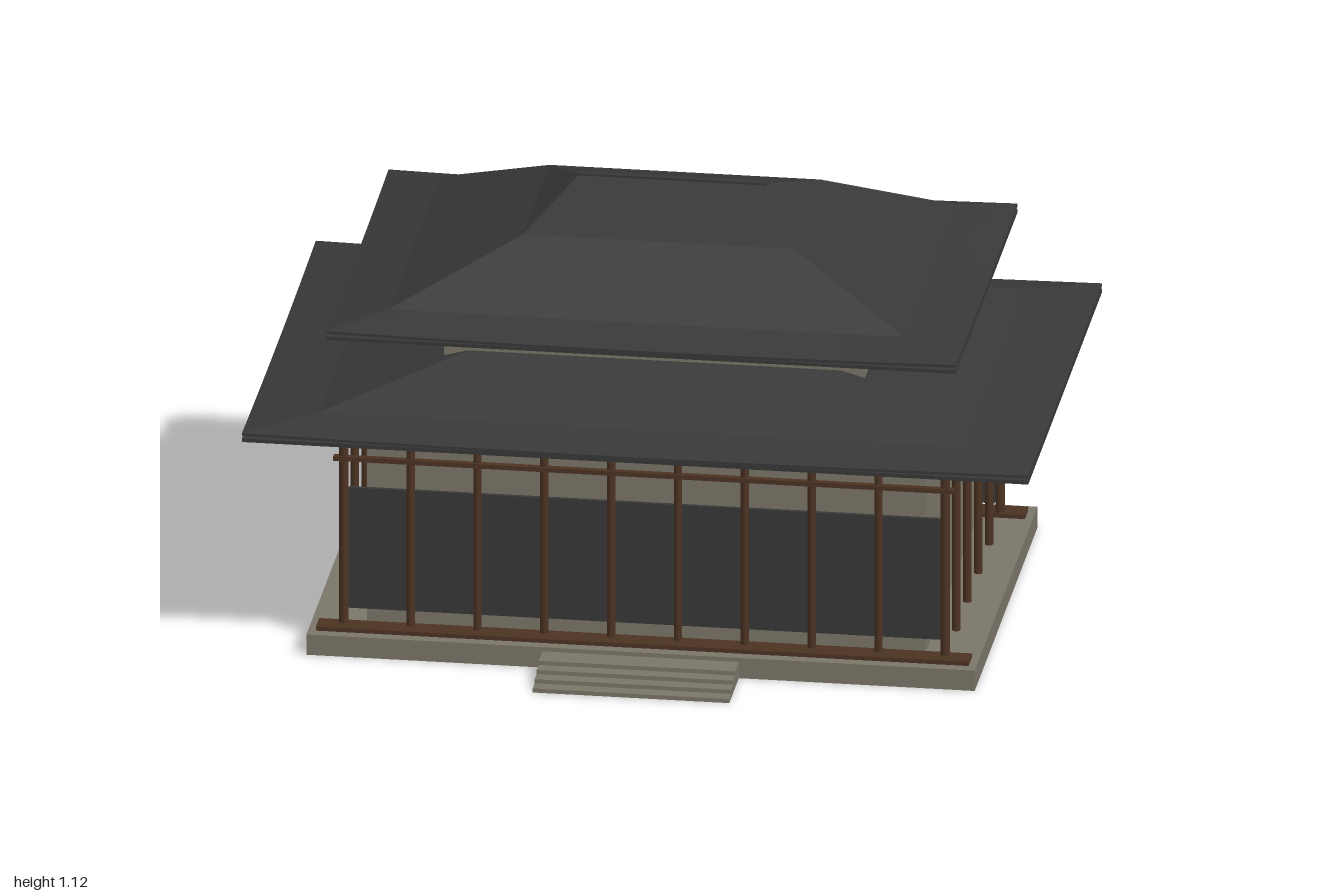
import * as THREE from 'three';

const CZ = -0.034; // centre of the hall along z; the steps take up the rest

export function createModel() {
  const model = new THREE.Group();
  model.name = 'templeHall';
  const mat = (name, color, side = THREE.FrontSide) =>
    new THREE.MeshStandardMaterial({ name, color, side });
  const stone = mat('stone', 0x7b7669);
  const tile = mat('roofTile', 0x383838, THREE.DoubleSide);
  const panel = mat('darkPanel', 0x383839);
  const wood = mat('wood', 0x4d3323);

  const add = (name, geo, material, x, y, z) => {
    const m = new THREE.Mesh(geo, material);
    m.name = name;
    m.position.set(x, y, z);
    model.add(m);
    return m;
  };
  // box given by centre x/z, bottom and top
  const box = (name, material, w, d, y0, y1, x = 0, z = CZ) =>
    add(name, new THREE.BoxGeometry(w, y1 - y0, d), material, x, (y0 + y1) / 2, z);

  // hipped roof from rectangular rings [halfX, halfZ, y, cornerLift], eave first
  const roof = (name, rings) => {
    const N = 16, pos = [];
    const corners = [[-1, 1], [1, 1], [1, -1], [-1, -1]];
    const point = ([hx, hz, y, lift], side, i) => {
      const a = corners[side], b = corners[(side + 1) % 4], t = i / N;
      const e = 2 * t - 1;
      return [hx * (a[0] + (b[0] - a[0]) * t), y + lift * e * e, hz * (a[1] + (b[1] - a[1]) * t)];
    };
    for (let r = 0; r < rings.length - 1; r++)
      for (let s = 0; s < 4; s++)
        for (let i = 0; i < N; i++) {
          const a = point(rings[r], s, i), b = point(rings[r], s, i + 1);
          const c = point(rings[r + 1], s, i + 1), d = point(rings[r + 1], s, i);
          pos.push(...a, ...b, ...c, ...a, ...c, ...d);
        }
    const geo = new THREE.BufferGeometry();
    geo.setAttribute('position', new THREE.Float32BufferAttribute(pos, 3));
    geo.computeVertexNormals();
    add(name, geo, tile, 0, 0, CZ);
  };

  // stone platform and front steps
  box('platform', stone, 1.7, 1.11, 0, 0.055);
  for (let i = 0; i < 4; i++) {
    const front = 0.69 - i * 0.035;
    box('step', stone, 0.5, front - 0.5, i * 0.011, (i + 1) * 0.011, 0, (front + 0.5) / 2);
  }

  // main hall walls
  box('mainWalls', stone, 1.42, 0.905, 0.055, 0.61);

  // columns around the veranda
  const column = (x, z, r) =>
    add('column', new THREE.CylinderGeometry(r, r, 0.555, 12), wood, x, 0.3325, z);
  for (const s of [-1, 1]) {
    for (let i = 0; i < 10; i++)
      column(-0.765 + i * 0.17, CZ + s * 0.484, i % 9 ? 0.0105 : 0.0125);
    for (let i = 1; i < 5; i++) column(s * 0.765, CZ - 0.484 + i * 0.1936, 0.0105);

    // long beams and dark screens, front and back
    box('sillBeam', wood, 1.66, 0.058, 0.055, 0.066, 0, CZ + s * 0.497);
    box('topBeam', wood, 1.58, 0.058, 0.601, 0.61, 0, CZ + s * 0.497);
    box('railBeam', wood, 1.58, 0.016, 0.508, 0.52, 0, CZ + s * 0.491);
    box('screen', panel, 1.51, 0.01, 0.098, 0.425, 0, CZ + s * 0.462);
  }

  // lower roof with flat soffit
  box('lowerSoffit', tile, 2, 1.303, 0.608, 0.618);
  roof('lowerRoof', [
    [1, 0.651, 0.617, 0.008], [1, 0.651, 0.624, 0.008],
    [0.82, 0.534, 0.651, 0.002], [0.48, 0.312, 0.748, 0], [0.44, 0.286, 0.757, 0],
  ]);

  // upper storey with a row of windows on each long side
  box('upperWalls', stone, 1.07, 0.615, 0.7, 0.856);
  for (const s of [-1, 1])
    for (let i = -3; i <= 3; i++)
      box('window', panel, 0.123, 0.009, 0.761, 0.833, i * 0.1545, CZ + s * 0.3115);

  // upper roof with flat soffit and ridge
  box('upperSoffit', tile, 1.6, 1.094, 0.855, 0.864);
  roof('upperRoof', [
    [0.8, 0.547, 0.864, 0.008], [0.8, 0.547, 0.871, 0.008],
    [0.655, 0.449, 0.906, 0.002], [0.345, 0.235, 1.043, 0], [0.235, 0.003, 1.12, 0],
  ]);
  box('ridge', tile, 0.48, 0.016, 1.112, 1.124);

  return model;
}
